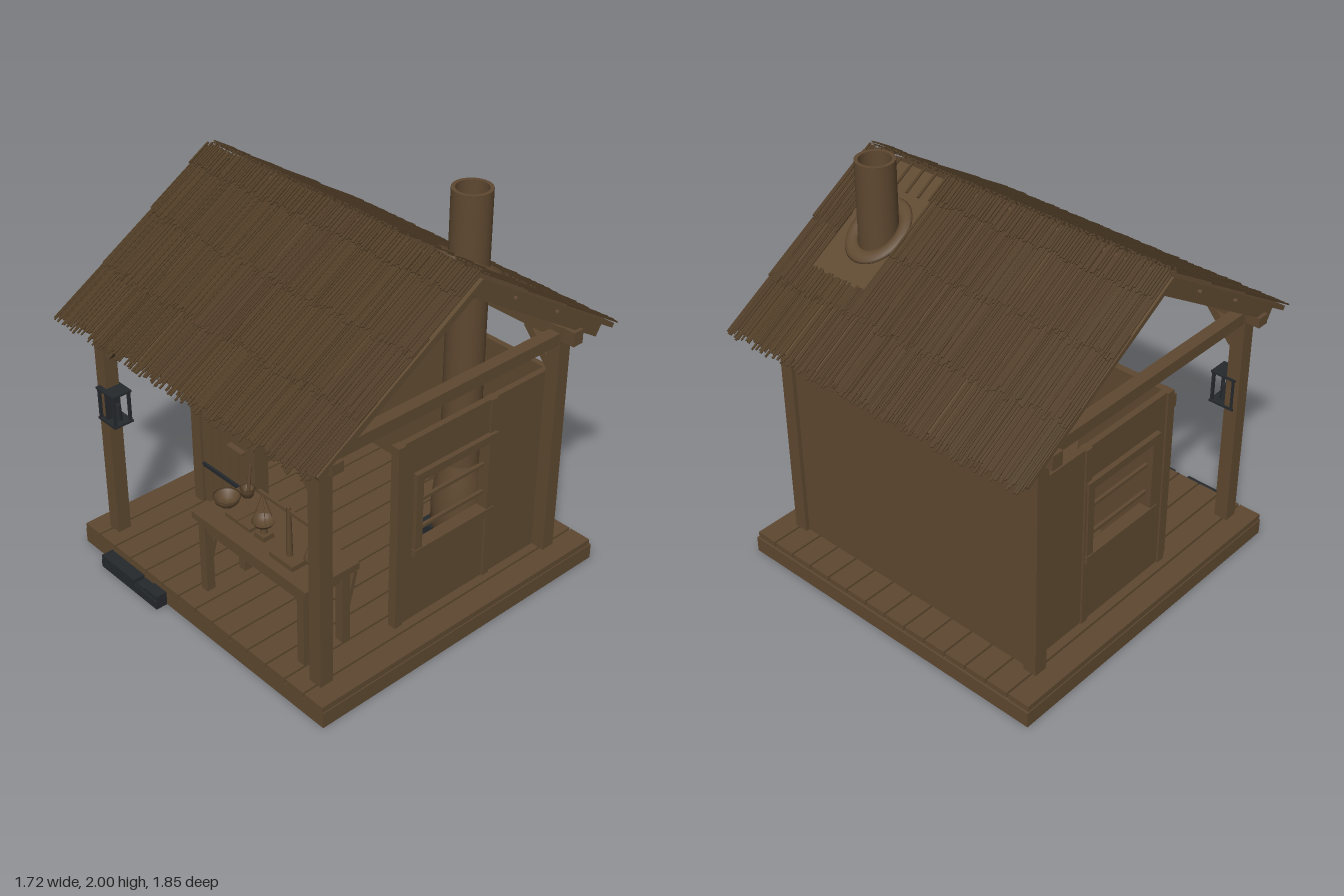
import * as THREE from 'three';
import { mergeGeometries } from 'three/addons/utils/BufferGeometryUtils.js';

export function createModel() {
  const model = new THREE.Group();
  const mat = (name, color, side = THREE.FrontSide) => {
    const m = new THREE.MeshStandardMaterial({ color, side });
    m.name = name;
    return m;
  };
  const wood = mat('wood', 0x5e4830);
  const clay = mat('clay', 0x5e4830, THREE.DoubleSide);
  const straw = mat('straw', 0x4f3c26);
  const iron = mat('iron', 0x26292c);

  const add = (name, geo, m = wood, parent = model) => {
    const mesh = new THREE.Mesh(geo, m);
    mesh.name = name;
    parent.add(mesh);
    return mesh;
  };
  const boxGeo = (x0, x1, y0, y1, z0, z1) =>
    new THREE.BoxGeometry(x1 - x0, y1 - y0, z1 - z0).translate((x0 + x1) / 2, (y0 + y1) / 2, (z0 + z1) / 2);
  const box = (name, x0, x1, y0, y1, z0, z1, m = wood) => add(name, boxGeo(x0, x1, y0, y1, z0, z1), m);
  // square timber or round rod between two points
  const bar = (name, a, b, w, d, m = wood, round = false) => {
    const p = new THREE.Vector3(...a), q = new THREE.Vector3(...b), dir = q.clone().sub(p);
    const len = dir.length();
    const geo = round ? new THREE.CylinderGeometry(w, d, len, 8) : new THREE.BoxGeometry(w, len, d);
    const mesh = add(name, geo, m);
    mesh.position.copy(p).add(q).multiplyScalar(0.5);
    mesh.quaternion.setFromUnitVectors(new THREE.Vector3(0, 1, 0), dir.normalize());
    return mesh;
  };
  const lathe = (name, pts, x, y, z, m = clay, seg = 24) => {
    const mesh = add(name, new THREE.LatheGeometry(pts.map(p => new THREE.Vector2(...p)), seg), m);
    mesh.position.set(x, y, z);
    return mesh;
  };
  let seed = 7;
  const rnd = () => (seed = (seed * 16807) % 2147483647) / 2147483647;

  // platform, floorboards and stone step
  box('platform', -0.86, 0.86, 0, 0.08, -0.86, 0.85);
  const pitch = 1.72 / 14;
  for (let i = 0; i < 14; i++)
    box('floorboard', -0.86 + i * pitch + 0.005, -0.86 + (i + 1) * pitch - 0.005, 0.08, 0.11, -0.85, 0.85);
  box('step', -0.65, -0.22, 0, 0.045, 0.85, 0.91, iron);
  box('stepSlab', -0.645, -0.39, 0.045, 0.07, 0.85, 0.91, iron);
  box('stepSlab', -0.31, -0.22, 0.045, 0.07, 0.85, 0.905, iron);
  box('stepSlab', -0.38, -0.32, 0.045, 0.06, 0.85, 0.905, iron);

  // posts, tie beams, plates and knee braces
  for (const s of [-1, 1]) {
    const [x0, x1] = s > 0 ? [0.69, 0.76] : [-0.76, -0.69];
    box('frontPost', x0, x1, 0.11, 1.29, 0.705, 0.775);
    box('rearPost', x0, x1, 0.11, 1.32, -0.695, -0.625);
    box('tieBeam', x0 + 0.005, x1 - 0.005, 1.23, 1.288, -0.835, 0.835);
    for (const z of [0.74, -0.66])
      bar('kneeBrace', [s * 0.69, 1.09, z], [s * 0.55, 1.25, z], 0.04, 0.04);
  }
  box('frontPlate', -0.83, 0.83, 1.235, 1.285, 0.71, 0.77);
  box('rearPlate', -0.83, 0.83, 1.25, 1.32, -0.69, -0.63);

  // side walls with window openings, frames and bars
  for (const s of [-1, 1]) {
    const wall = new THREE.Shape([[-0.66, 0.11], [0.28, 0.11], [0.28, 1.07], [-0.66, 1.07]].map(p => new THREE.Vector2(...p)));
    wall.holes.push(new THREE.Path([[-0.265, 0.5], [-0.265, 0.86], [0.14, 0.86], [0.14, 0.5]].map(p => new THREE.Vector2(...p))));
    const geo = new THREE.ExtrudeGeometry(wall, { depth: 0.03, bevelEnabled: false });
    add('sideWall', geo.rotateY(-Math.PI / 2).translate(s > 0 ? 0.69 : -0.66, 0, 0));
    const side = (name, y0, y1, z0, z1, a, b) =>
      box(name, s > 0 ? a : -b, s > 0 ? b : -a, y0, y1, z0, z1);
    side('cornerStud', 0.11, 1.07, 0.24, 0.283, 0.655, 0.7);
    side('wallStud', 0.11, 1.07, -0.315, -0.275, 0.655, 0.7);
    side('windowHead', 0.86, 0.9, -0.31, 0.185, 0.65, 0.715);
    side('windowSill', 0.46, 0.5, -0.31, 0.185, 0.65, 0.715);
    side('windowJamb', 0.5, 0.86, 0.14, 0.18, 0.65, 0.71);
    side('windowJamb', 0.5, 0.86, -0.305, -0.265, 0.65, 0.71);
    for (const y of [0.58, 0.73]) side('windowBar', y - 0.008, y + 0.008, -0.265, 0.14, 0.668, 0.684);
  }
  box('rearWall', -0.69, 0.69, 0.11, 1.07, -0.675, -0.645);

  // front wall section with plank door
  box('frontWall', -0.68, -0.2, 0.11, 1.07, 0.245, 0.28);
  box('doorJamb', -0.675, -0.61, 0.11, 0.95, 0.28, 0.325);
  box('doorJamb', -0.26, -0.2, 0.11, 0.95, 0.28, 0.325);
  box('doorLintel', -0.68, -0.19, 0.95, 1.015, 0.28, 0.33);
  for (let i = 0; i < 5; i++)
    box('doorPlank', -0.607 + i * 0.069, -0.542 + i * 0.069, 0.12, 0.945, 0.28, 0.31);
  for (const y of [0.34, 0.77]) box('doorHinge', -0.605, -0.27, y - 0.01, y + 0.01, 0.31, 0.322, iron);
  box('doorHandle', -0.37, -0.26, 0.572, 0.587, 0.325, 0.355);

  // roof boards, rafters and ridge pole
  const slope = Math.atan(0.615), cos = Math.cos(slope), sin = Math.sin(slope);
  const roofBox = (s, x, w, d0, d1, lift, t) => new THREE.BoxGeometry(w, t, d1 - d0)
    .rotateX(s * slope)
    .translate(x, 1.825 - (d0 + d1) / 2 * sin + lift * cos, s * ((d0 + d1) / 2 * cos + lift * sin));
  for (const s of [-1, 1]) {
    add('roofBoards', roofBox(s, 0, 1.71, 0, 1.02, -0.012, 0.022));
    for (const x of [-0.79, -0.39, 0, 0.39, 0.79])
      add('rafter', roofBox(s, x, 0.045, 0, 0.995, -0.055, 0.065));
    for (const d of [0.3, 0.62])
      add('batten', roofBox(s, 0, 1.66, d, d + 0.04, -0.03, 0.02));
  }
  bar('ridgePole', [-0.83, 1.76, 0], [0.83, 1.76, 0], 0.025, 0.025, wood, true);

  // straw thatch in overlapping courses, left open around the chimney
  const stalks = [];
  for (const s of [-1, 1]) {
    const courses = [[0.62, 1.05, 0.006], [0.3, 0.74, 0.012], [0.0, 0.42, 0.018]];
    for (const [a, b, lift] of courses) {
      for (let i = 0; i < 170; i++) {
        const x = -0.853 + 1.706 * (i + rnd() * 0.7) / 170;
        let d0 = a + rnd() * 0.03;
        const d1 = b - 0.02 + rnd() * 0.045;
        if (s < 0 && x > 0.36 && x < 0.68) d0 = Math.max(d0, 0.61 + rnd() * 0.02);
        if (d1 - d0 < 0.05) continue;
        stalks.push(roofBox(s, x, 0.006 + rnd() * 0.006, d0, d1, lift + rnd() * 0.006, 0.005));
      }
    }
    // ridge course
    for (let i = 0; i < 110; i++) {
      const x = -0.85 + 1.7 * (i + rnd() * 0.6) / 110;
      if (s < 0 && x > 0.36 && x < 0.68) continue;
      stalks.push(roofBox(s, x, 0.01, -0.012 * rnd(), 0.11 + rnd() * 0.03, 0.029 + rnd() * 0.004, 0.006));
    }
  }
  for (const x of [0.42, 0.49, 0.565, 0.64]) stalks.push(roofBox(-1, x, 0.012, 0, 0.14, 0.03, 0.006));
  add('thatch', mergeGeometries(stalks), straw);

  // hearth: stone piers, hood, hollow chimney and roof collar
  const cx = 0.5, cz = -0.3;
  for (const s of [-1, 1])
    for (let i = 0; i < 3; i++) {
      const y = 0.11 + i * 0.063, j = i % 2 * 0.008, x = cx + s * 0.085;
      box('hearthStone', x - 0.042, x + 0.042 - j, y, y + 0.058, cz - 0.12, cz - 0.003, iron);
      box('hearthStone', x - 0.042 + j, x + 0.042, y, y + 0.058, cz + 0.003, cz + 0.12, iron);
    }
  lathe('hearthHood', [[0.09, 0.29], [0.122, 0.3], [0.122, 0.42], [0.115, 0.5], [0.1, 0.58], [0.08, 0.67]], cx, 0, cz);
  lathe('chimney', [[0.072, 0.66], [0.09, 0.66], [0.09, 0.66], [0.09, 2], [0.09, 2], [0.072, 2], [0.072, 2], [0.072, 0.66]], cx, 0, cz, clay, 32);
  const collar = add('chimneyCollar', new THREE.TorusGeometry(0.118, 0.03, 10, 32).rotateX(Math.PI / 2).scale(1, 0.6, 1.2));
  collar.position.set(cx, 1.825 + cz * 0.615 + 0.015, cz);
  collar.rotation.x = -slope;

  // work table
  box('tableTop', -0.125, 0.64, 0.5, 0.535, 0.445, 0.75);
  for (const z of [0.475, 0.7]) box('tableApron', -0.1, 0.61, 0.435, 0.48, z, z + 0.02);
  for (const x of [-0.1, 0.567]) {
    box('tableEndRail', x + 0.01, x + 0.03, 0.435, 0.5, 0.475, 0.72);
    for (const z of [0.47, 0.69]) {
      box('tableLeg', x, x + 0.043, 0.11, 0.5, z, z + 0.045);
      bar('tableBrace', [x + 0.021, 0.24, z + 0.01], [x + 0.021, 0.45, z - 0.045], 0.02, 0.02);
    }
  }

  // balance scale
  const sz = 0.65;
  box('scaleBase', 0.35, 0.5, 0.535, 0.56, 0.605, 0.7);
  bar('scalePost', [0.425, 0.55, sz], [0.425, 0.81, sz], 0.01, 0.016, wood, true);
  bar('scaleBeam', [0.23, 0.79, sz], [0.62, 0.79, sz], 0.016, 0.014);
  for (const x of [0.255, 0.595]) {
    lathe('scalePan', [[0, 0], [0.025, 0.004], [0.042, 0.014], [0.053, 0.03]], x, 0.615, sz);
    for (let k = 0; k < 3; k++) {
      const t = k * Math.PI * 2 / 3 + 0.5;
      bar('scaleCord', [x, 0.79, sz], [x + 0.05 * Math.cos(t), 0.642, sz + 0.05 * Math.sin(t)], 0.002, 0.002, wood, true);
    }
  }
  box('weight', 0.2, 0.265, 0.535, 0.56, 0.6, 0.66);
  bar('weightKnob', [0.232, 0.56, 0.63], [0.232, 0.59, 0.63], 0.014, 0.018, wood, true);

  // bowl, mortar and book on the table
  lathe('bowl', [[0, 0], [0.035, 0], [0.055, 0.02], [0.065, 0.045], [0.056, 0.042], [0.035, 0.012], [0, 0.01]], -0.06, 0.535, 0.6);
  lathe('mortar', [[0, 0], [0.026, 0], [0.036, 0.04], [0.028, 0.04], [0.02, 0.012], [0, 0.012]], -0.05, 0.535, 0.49);
  bar('pestle', [-0.05, 0.55, 0.485], [-0.05, 0.69, 0.47], 0.006, 0.009, wood, true);
  box('book', 0.0, 0.085, 0.535, 0.555, 0.54, 0.66);
  box('book', 0.087, 0.17, 0.535, 0.552, 0.54, 0.66);

  // lantern on the front post
  for (const y of [0.75, 0.91]) box('lanternPlate', -0.74, -0.608, y, y + 0.01, 0.695, 0.8, iron);
  for (const x of [-0.735, -0.625])
    for (const z of [0.7, 0.783]) box('lanternPost', x, x + 0.013, 0.76, 0.91, z, z + 0.013, iron);
  box('lanternBack', -0.69, -0.684, 0.76, 0.91, 0.71, 0.79, iron);
  bar('candle', [-0.655, 0.76, 0.745], [-0.655, 0.84, 0.745], 0.015, 0.018, iron, true);

  return model;
}
